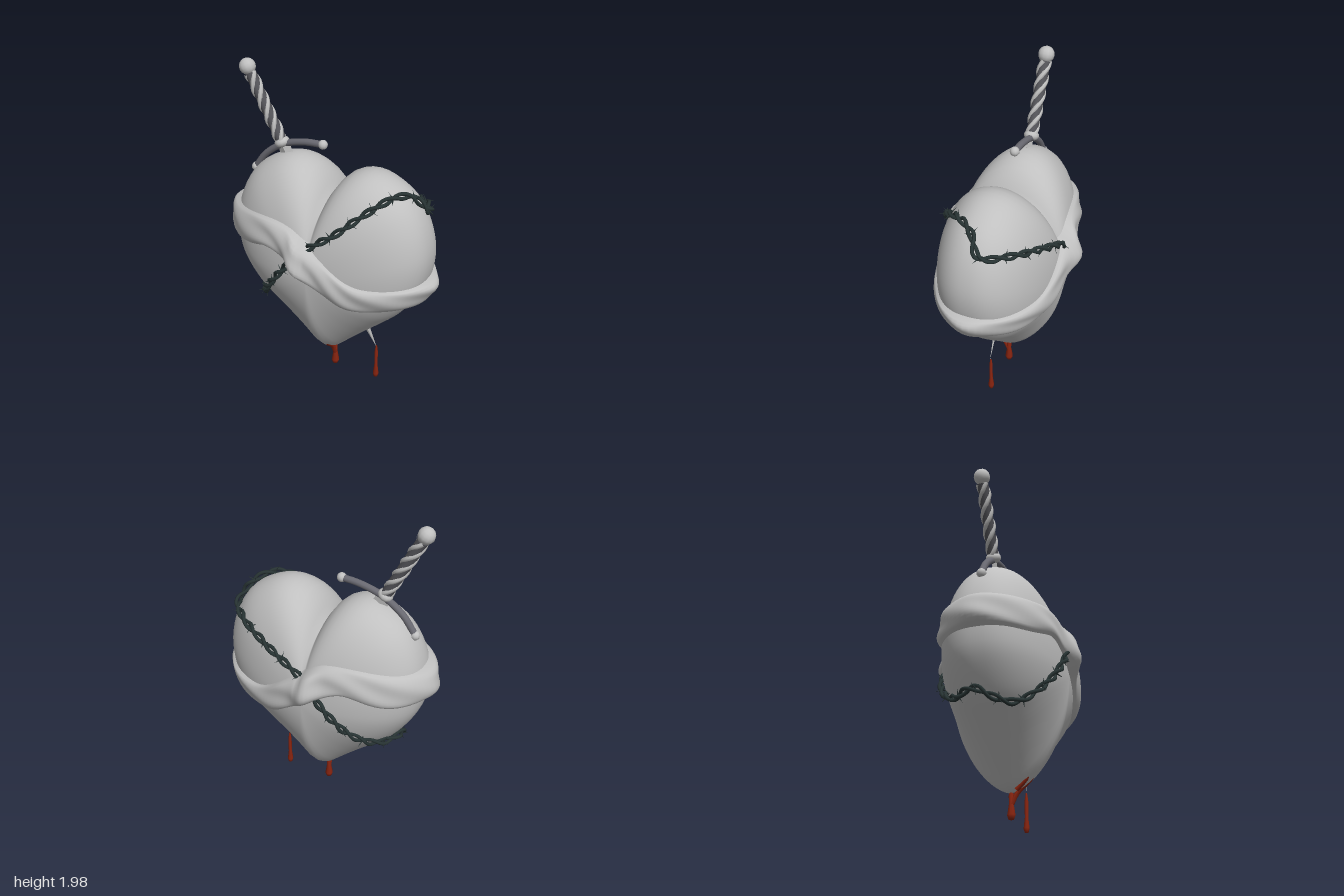
import * as THREE from 'three';

const mat = (name, color, side = THREE.FrontSide) => {
  const m = new THREE.MeshStandardMaterial({ color, side });
  m.name = name;
  return m;
};
const V = (x, y, z = 0) => new THREE.Vector3(x, y, z);

// Grid surface from a rule; u wraps round, the outside is along du x dv
function gridSurface(nu, nv, rule) {
  const pos = [], idx = [];
  for (let j = 0; j <= nv; j++)
    for (let i = 0; i < nu; i++) pos.push(...rule(i / nu, j / nv).toArray());
  for (let j = 0; j < nv; j++)
    for (let i = 0; i < nu; i++) {
      const a = j * nu + i, b = j * nu + (i + 1) % nu;
      idx.push(a, b, b + nu, a, b + nu, a + nu);
    }
  const g = new THREE.BufferGeometry();
  g.setAttribute('position', new THREE.Float32BufferAttribute(pos, 3));
  g.setIndex(idx);
  g.computeVertexNormals();
  return g;
}

// Linear lookup in a sorted list of [key, value]
function lookup(table, k) {
  let i = 1;
  while (i < table.length - 1 && table[i][0] < k) i++;
  const [a, va] = table[i - 1], [b, vb] = table[i];
  return va + (vb - va) * THREE.MathUtils.clamp((k - a) / (b - a), 0, 1);
}
const smoothTable = (pts) => new THREE.SplineCurve(pts.map(p => new THREE.Vector2(...p)))
  .getPoints(80).map(p => [p.x, p.y]);

// Heart: outline radius by angle from straight up, and a pillow-like depth
const CY = 0.85, DEPTH = 0.36;
const outline = smoothTable([[0, 1.26], [0.05, 1.36], [0.13, 1.44], [0.24, 1.475], [0.36, 1.45],
  [0.5, 1.36], [0.59, 1.22], [0.635, 1.05], [0.63, 0.9], [0.59, 0.77], [0.48, 0.6], [0.36, 0.48],
  [0.24, 0.37], [0.12, 0.26], [0.04, 0.185], [0, 0.17]])
  .map(([x, y]) => [Math.atan2(Math.max(x, 0), y - CY), Math.hypot(x, y - CY)]);
const radiusAt = (t) => lookup(outline, t > Math.PI ? 2 * Math.PI - t : t);
const power = (c) => 0.42 + (c < 0 ? 0.23 : 0.08) * c * c;

function insideHeart(p) {
  const dx = Math.abs(p.x), dy = p.y - CY, r = Math.hypot(dx, dy);
  const f = r / radiusAt(Math.atan2(dx, dy));
  return f < 1 && Math.abs(p.z) < DEPTH * Math.pow(1 - f * f, power(r ? dy / r : 0));
}
// Point where a ray from inside leaves the heart, pushed out by lift
function onHeart(origin, dir, lift) {
  let lo = 0, hi = 1.2;
  for (let i = 0; i < 24; i++) {
    const m = (lo + hi) / 2;
    if (insideHeart(origin.clone().addScaledVector(dir, m))) lo = m; else hi = m;
  }
  return origin.clone().addScaledVector(dir, lo + lift);
}

function heartGeometry() {
  return gridSurface(96, 48, (u, v) => {
    const t = u * 2 * Math.PI, a = v * Math.PI, c = Math.cos(a);
    const r = radiusAt(t) * Math.sin(a);
    const z = Math.sign(c) * DEPTH * Math.pow(Math.abs(c), 2 * power(Math.cos(t)));
    return V(r * Math.sin(t), CY + r * Math.cos(t), z);
  });
}

// Cloth band wrapped round the heart, with a knot bulge and pinched sides
const bandTop = smoothTable([[-0.68, 1.12], [-0.5, 1.17], [-0.25, 1.16], [0, 1.08], [0.2, 1.0],
  [0.45, 0.88], [0.68, 0.87]]);
const bandLow = smoothTable([[-0.68, 0.93], [-0.58, 0.93], [-0.4, 0.99], [-0.2, 0.94], [0, 0.86],
  [0.2, 0.78], [0.4, 0.7], [0.68, 0.69]]);
const bump = (d, w) => Math.exp(-(d * d) / (w * w));
function bandGeometry() {
  return gridSurface(120, 14, (u, v) => {
    const t = u * 2 * Math.PI, x = 0.65 * Math.cos(t), s = 2 * v - 1;
    const low = lookup(bandLow, x), y = low + (lookup(bandTop, x) - low) * v;
    const round = Math.sqrt(Math.max(0, 1 - s ** 4));
    const fold = 0.006 * Math.sin(9 * t + 4 * s);
    const lift = -0.01 + round * (0.045 + fold + 0.055 * bump(x + 0.07, 0.11)
      + 0.035 * bump(Math.sin(t), 0.16));
    return onHeart(V(0, y, 0), V(Math.cos(t), 0, -Math.sin(t)), lift);
  });
}

// Closed path of the thorny wire, laid on the heart
function wirePath() {
  const rough = [[-0.15, 0.88, 0.36], [0, 1.06, 0.35], [0.16, 1.18, 0.33], [0.33, 1.33, 0.24],
    [0.45, 1.4, 0.1], [0.51, 1.37, 0.01], [0.58, 1.27, -0.06], [0.5, 1.27, -0.22],
    [0.3, 1.21, -0.32], [0, 1.05, -0.36], [-0.15, 0.88, -0.36], [-0.3, 0.71, -0.3],
    [-0.42, 0.62, -0.18], [-0.5, 0.63, -0.05], [-0.48, 0.57, 0.05], [-0.4, 0.56, 0.15],
    [-0.3, 0.68, 0.28]].map(p => V(...p));
  const c = V(0, CY);
  const pts = new THREE.CatmullRomCurve3(rough, true).getSpacedPoints(70).slice(0, -1)
    .map(p => onHeart(c, p.sub(c).normalize(), 0.02));
  return new THREE.CatmullRomCurve3(pts, true);
}

export function createModel() {
  const model = new THREE.Group();
  const stone = mat('pale grey', 0xc0c0c0), guardGrey = mat('guard grey', 0x6a6a72);
  const gripGrey = mat('grip dark grey', 0x55555a), wireMat = mat('wire black green', 0x283434);
  const red = mat('dark red', 0x8b2510);
  const add = (parent, name, geo, material, pos) => {
    const m = new THREE.Mesh(geo, material);
    m.name = name;
    if (pos) m.position.copy(pos);
    parent.add(m);
    return m;
  };
  const tube = (pts, r, seg, sides, closed = false) =>
    new THREE.TubeGeometry(new THREE.CatmullRomCurve3(pts, closed), seg, r, sides, closed);

  add(model, 'heart', heartGeometry(), stone);
  add(model, 'band', bandGeometry(), stone);

  // Thorny wire: two twisted strands with clusters of spikes
  const wire = new THREE.Group();
  wire.name = 'thornWire';
  model.add(wire);
  const N = 360, path = wirePath(), frames = path.computeFrenetFrames(N, true);
  const around = (i, ang) => frames.normals[i].clone().multiplyScalar(Math.cos(ang))
    .addScaledVector(frames.binormals[i], Math.sin(ang));
  for (const phase of [0, Math.PI]) {
    const pts = [];
    for (let i = 0; i < N; i++)
      pts.push(path.getPointAt(i / N).addScaledVector(around(i, phase + i / N * 2 * Math.PI * 16), 0.014));
    add(wire, 'strand', tube(pts, 0.011, 500, 6, true), wireMat);
  }
  const spike = new THREE.ConeGeometry(0.006, 0.05, 4).translate(0, 0.025, 0);
  for (let i = 0; i < N; i += 15)
    for (let k = 0; k < 4; k++) {
      const d = around(i, k * Math.PI / 2 + i).addScaledVector(frames.tangents[i], k % 2 ? 0.4 : -0.4);
      add(wire, 'thorn', spike, wireMat, path.getPointAt(i / N))
        .quaternion.setFromUnitVectors(V(0, 1), d.normalize());
    }

  // Sword: pommel at the group origin, blade running down local -y
  const sword = new THREE.Group();
  sword.name = 'sword';
  sword.position.set(-0.58, 1.95, 0.005);
  sword.rotation.z = Math.atan2(0.88, 1.69);
  model.add(sword);
  add(sword, 'pommel', new THREE.SphereGeometry(0.05, 12, 8), stone);
  add(sword, 'grip', new THREE.CylinderGeometry(0.034, 0.034, 0.44, 12), gripGrey, V(0, -0.26));
  for (let k = 0; k < 3; k++) {
    const pts = [];
    for (let i = 0; i <= 30; i++) {
      const a = i / 30 * 2 * Math.PI * 1.5 + k * 2 * Math.PI / 3;
      pts.push(V(0.027 * Math.cos(a), -0.04 - 0.43 * i / 30, 0.027 * Math.sin(a)));
    }
    add(sword, 'gripCord', tube(pts, 0.015, 60, 6), stone);
  }
  add(sword, 'collar', new THREE.SphereGeometry(0.047, 12, 8), stone, V(0, -0.485)).scale.y = 0.7;
  const blade = (name, top, len, rTop) => {
    const g = new THREE.CylinderGeometry(rTop, rTop === 0.045 ? 0.042 : 0.001, len, 4).toNonIndexed();
    g.computeVertexNormals();
    add(sword, name, g, stone, V(0, top - len / 2)).scale.z = 0.35;
  };
  blade('blade', -0.49, 1.11, 0.045);
  blade('bladeTip', -1.6, 0.305, 0.042);

  // Curved cross guard with ball ends
  const arc = [V(-0.55, 1.31), V(-0.47, 1.42), V(-0.34, 1.51), V(-0.2, 1.55), V(-0.08, 1.56)];
  add(model, 'guard', tube(arc, 0.021, 24, 10), guardGrey);
  for (const p of [arc[0], arc[4]])
    add(model, 'guardEnd', new THREE.SphereGeometry(0.029, 10, 8), stone, p);

  // Blood: hanging drops and streaks running down to the heart's tip
  const drop = (name, x, top, s) => {
    const prof = [[0, 0.015], [0.014, 0.02], [0.021, 0.045], [0.012, 0.11], [0.013, top * 0.8],
      [0.005, top], [0, top]];
    add(model, name, new THREE.LatheGeometry(prof.map(([r, y]) => new THREE.Vector2(r * s, y)), 8), red, V(x, 0));
  };
  drop('bladeDrop', 0.3, 0.26, 0.9);
  drop('heartDrop', 0.005, 0.2, 1.2);
  add(model, 'streak', tube([V(0.012, 0.3, 0.15), V(0.012, 0.24, 0.105), V(0.006, 0.17, 0.035), V(0.005, 0.1, 0)],
    0.014, 12, 6), red);
  add(model, 'streak', tube([V(-0.03, 0.28, 0.125), V(-0.028, 0.23, 0.09), V(-0.025, 0.18, 0.04)],
    0.014, 10, 6), red);
  return model;
}
